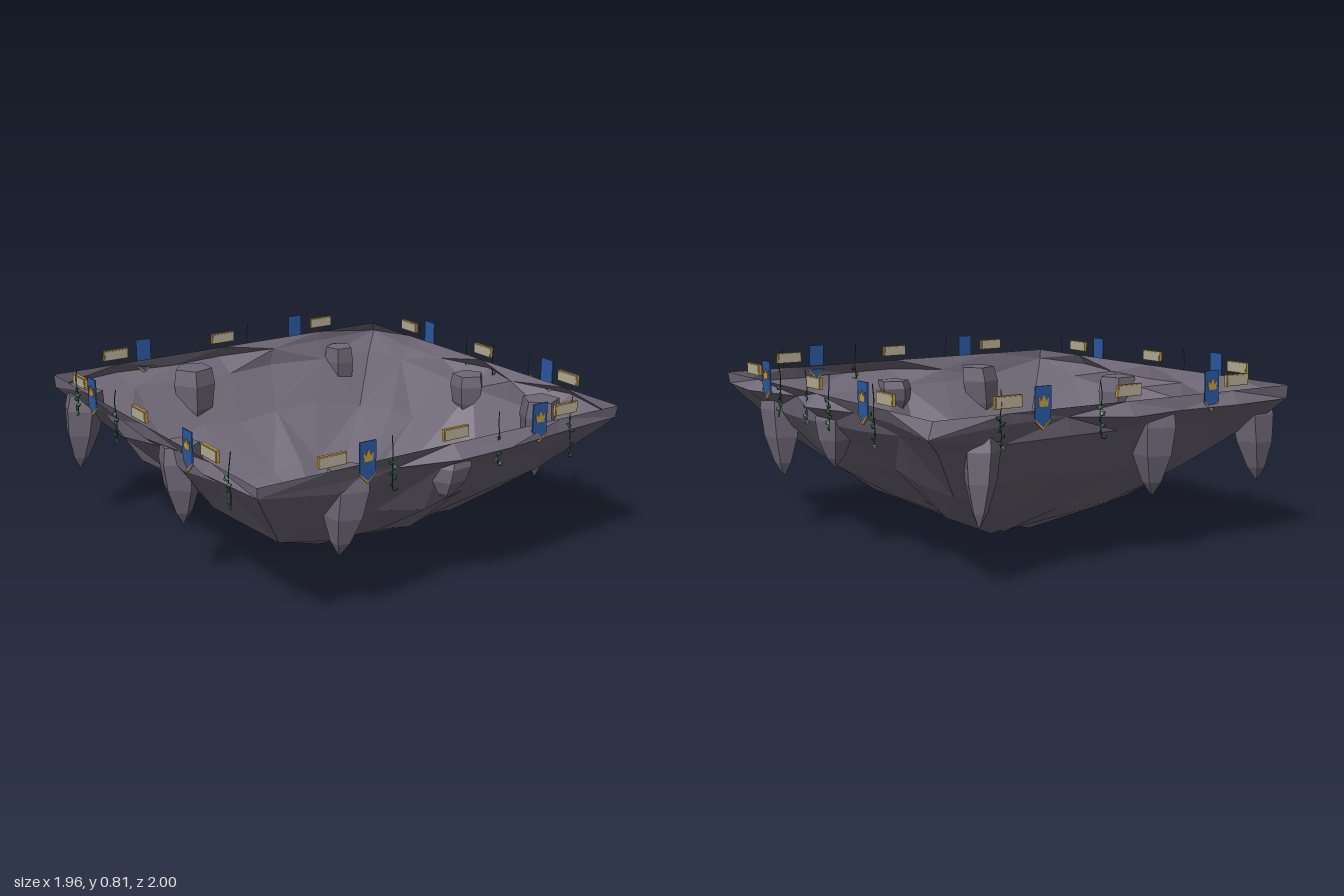
import * as THREE from 'three';

const mat = (name, color, side = THREE.FrontSide) => {
  const m = new THREE.MeshStandardMaterial({ color, side, flatShading: true });
  m.name = name;
  return m;
};

export function createModel() {
  const root = new THREE.Group();
  root.name = 'floatingRockBase';
  const rock = mat('rock', 0x6f6877, THREE.DoubleSide);
  const blue = mat('bannerBlue', 0x2a58a0);
  const gold = mat('gold', 0xc09a40);
  const stone = mat('plaqueStone', 0xb3ac97);
  const stem = mat('vineStem', 0x2c4a33);
  const leaf = mat('vineLeaf', 0x2b6040, THREE.DoubleSide);

  let seed = 11;
  const rnd = () => {
    seed = (seed * 16807) % 2147483647;
    return seed / 2147483647;
  };
  const jit = (a) => (rnd() * 2 - 1) * a;
  const CX = -0.018, CZ = -0.005;

  const add = (parent, name, geo, material, x = 0, y = 0, z = 0) => {
    const m = new THREE.Mesh(geo, material);
    m.name = name;
    m.position.set(x, y, z);
    parent.add(m);
    return m;
  };

  // Square rock bowl: rings of [half width, height, sideways jitter, height jitter, corner scale]
  const rings = [
    [0.937, 0.712, 0, 0, 1], [0.915, 0.657, 0.014, 0.012, 1.02], [0.88, 0.585, 0.022, 0.02, 1],
    [0.725, 0.37, 0.04, 0.03, 0.95], [0.445, 0.175, 0.035, 0.02, 0.97], [0.1, 0.01, 0.006, 0.008, 1.08],
  ];
  const steps = [-1, -0.63, -0.3, 0, 0.3, 0.63];
  // Ledges that stick out past the rim, by point index around the ring
  const ledges = { 3: 0.085, 4: 0.075, 5: 0.035, 7: 0.08, 9: 0.08, 12: 0.08, 15: 0.07, 16: 0.04, 17: 0.07, 23: 0.05 };
  const grid = rings.map(([half, y, jSide, jUp, cornerScale], r) => {
    const ring = [];
    for (let s = 0; s < 4; s++) {
      for (let k = 0; k < 6; k++) {
        const corner = k === 0;
        const push = r === 1 ? ledges[s * 6 + k] || 0 : 0;
        const d = push ? half + push : corner ? half * cornerScale + jit(jSide * 0.3) : half + jit(jSide);
        const u = corner ? -d : half * steps[k] + jit(jSide);
        const p = new THREE.Vector3(u, y + jit(jUp), d);
        p.applyAxisAngle(new THREE.Vector3(0, 1, 0), s * Math.PI / 2);
        p.x += CX;
        p.z += CZ;
        ring.push(p);
      }
    }
    return ring;
  });
  const pos = [];
  const tri = (...ps) => ps.forEach((p) => pos.push(p.x, p.y, p.z));
  for (let r = 0; r < rings.length - 1; r++) {
    for (let i = 0; i < 24; i++) {
      const n = (i + 1) % 24;
      const a = grid[r][i], b = grid[r][n], c = grid[r + 1][i], d = grid[r + 1][n];
      if ((i + r) % 2) {
        tri(a, c, d);
        tri(a, d, b);
      } else {
        tri(a, c, b);
        tri(b, c, d);
      }
    }
  }
  const foot = new THREE.Vector3(CX, 0.01, CZ);
  for (let i = 0; i < 24; i++) tri(foot, grid[5][(i + 1) % 24], grid[5][i]);
  const bowl = new THREE.BufferGeometry();
  bowl.setAttribute('position', new THREE.Float32BufferAttribute(pos, 3));
  bowl.computeVertexNormals();
  add(root, 'rockBowl', bowl, rock);

  // Five-sided hanging spikes: x, z, top, tip, radius, tip lean in x and z
  const spikes = [
    [-0.87, -0.79, 0.65, 0.26, 0.1, -0.03, -0.03], [-0.25, -0.85, 0.66, 0.27, 0.108, 0, 0.01],
    [0.64, -0.85, 0.64, 0.25, 0.08, 0.025, -0.02], [0.84, -0.01, 0.65, 0.38, 0.088, 0, 0],
    [0.83, 0.53, 0.66, 0.26, 0.1, 0.01, -0.03], [0.05, 0.84, 0.62, 0.43, 0.09, -0.03, 0],
    [-0.46, 0.83, 0.66, 0.29, 0.103, -0.045, -0.01], [-0.86, 0.14, 0.65, 0.28, 0.1, 0.01, 0],
  ];
  spikes.forEach(([x, z, top, tip, rad, leanX, leanZ], i) => {
    const h = top - tip;
    const profile = [[0, 0], [0.42, 0.17], [0.84, 0.48], [1, 0.8], [0.88, 1], [0, 1]]
      .map(([r, y]) => new THREE.Vector2(r * rad, y * h));
    const geo = new THREE.LatheGeometry(profile, 5).rotateY(i * 0.9);
    const p = geo.attributes.position;
    for (let k = 0; k < p.count; k++) {
      const t = 1 - p.getY(k) / h;
      p.setX(k, p.getX(k) + leanX * t);
      p.setZ(k, p.getZ(k) + leanZ * t);
    }
    add(root, 'hangingSpike', geo, rock, x, tip, z);
  });

  // Banner cloth, trim and crown outlines
  const extrude = (pts, depth) => {
    const shape = new THREE.Shape(pts.map(([x, y]) => new THREE.Vector2(x, y)));
    const g = new THREE.ExtrudeGeometry(shape, { depth, bevelEnabled: false });
    g.translate(0, 0, -depth / 2);
    return g;
  };
  const cloth = extrude([[-0.039, 0.812], [-0.039, 0.675], [0, 0.645], [0.039, 0.675], [0.039, 0.812]], 0.006);
  const trim = extrude([[-0.039, 0.675], [0, 0.636], [0.039, 0.675], [0.039, 0.682], [0, 0.648], [-0.039, 0.682]], 0.009);
  const crown = extrude([[-0.021, 0.73], [0.021, 0.73], [0.026, 0.77], [0.012, 0.754], [0, 0.78], [-0.012, 0.754], [-0.026, 0.77]], 0.003);
  const addBanner = (side, u) => {
    const g = new THREE.Group();
    g.name = 'banner';
    g.position.set(u, 0, 0.96);
    add(g, 'bannerCloth', cloth, blue);
    add(g, 'bannerTrim', trim, gold);
    add(g, 'bannerCrown', crown, gold, 0, 0, 0.005);
    side.add(g);
  };

  // Stone plaque in a gold frame
  const addPlaque = (side, u) => {
    const g = new THREE.Group();
    g.name = 'plaque';
    g.position.set(u, 0.76, 0.947);
    add(g, 'plaqueFrame', new THREE.BoxGeometry(0.128, 0.05, 0.014), gold);
    add(g, 'plaquePanel', new THREE.BoxGeometry(0.118, 0.04, 0.018), stone);
    side.add(g);
  };

  // Thin vine with small leaves towards its lower end
  const addVine = (side, u, bottom) => {
    const g = new THREE.Group();
    g.name = 'vine';
    const pts = [0, 1, 2, 3, 4].map((k) => new THREE.Vector3(
      u + jit(0.005), 0.81 + (bottom - 0.81) * k / 4, 0.952 + jit(0.006)));
    const curve = new THREE.CatmullRomCurve3(pts);
    add(g, 'vineStem', new THREE.TubeGeometry(curve, 8, 0.0025, 4), stem);
    for (let k = 0; k < 6; k++) {
      const p = curve.getPoint(0.48 + 0.52 * k / 5);
      const m = add(g, 'vineLeaf', new THREE.OctahedronGeometry(0.017), leaf,
        p.x + (k % 2 ? 0.009 : -0.009), p.y, p.z + 0.005);
      m.scale.set(0.9, 0.65, 0.25);
      m.rotation.set(jit(0.6), jit(1.2), k % 2 ? 0.6 : -0.6);
    }
    side.add(g);
  };

  // Decorations along each edge: front, right, back, left
  const vines = [
    [[-0.32, 0.58], [0.23, 0.58], [0.635, 0.54]],
    [[-0.33, 0.58], [-0.07, 0.58], [0.14, 0.58], [0.52, 0.56]],
    [[-0.15, 0.58], [-0.64, 0.58]],
    [[-0.63, 0.6], [-0.23, 0.58], [0.76, 0.58]],
  ];
  vines.forEach((list, s) => {
    const side = new THREE.Group();
    side.name = 'edgeDecorations';
    side.position.set(CX, 0, CZ);
    side.rotation.y = s * Math.PI / 2;
    [-0.447, 0.447].forEach((u) => addBanner(side, u));
    [-0.605, 0, 0.605].forEach((u) => addPlaque(side, u));
    list.forEach(([u, b]) => addVine(side, u, b));
    root.add(side);
  });
  return root;
}
